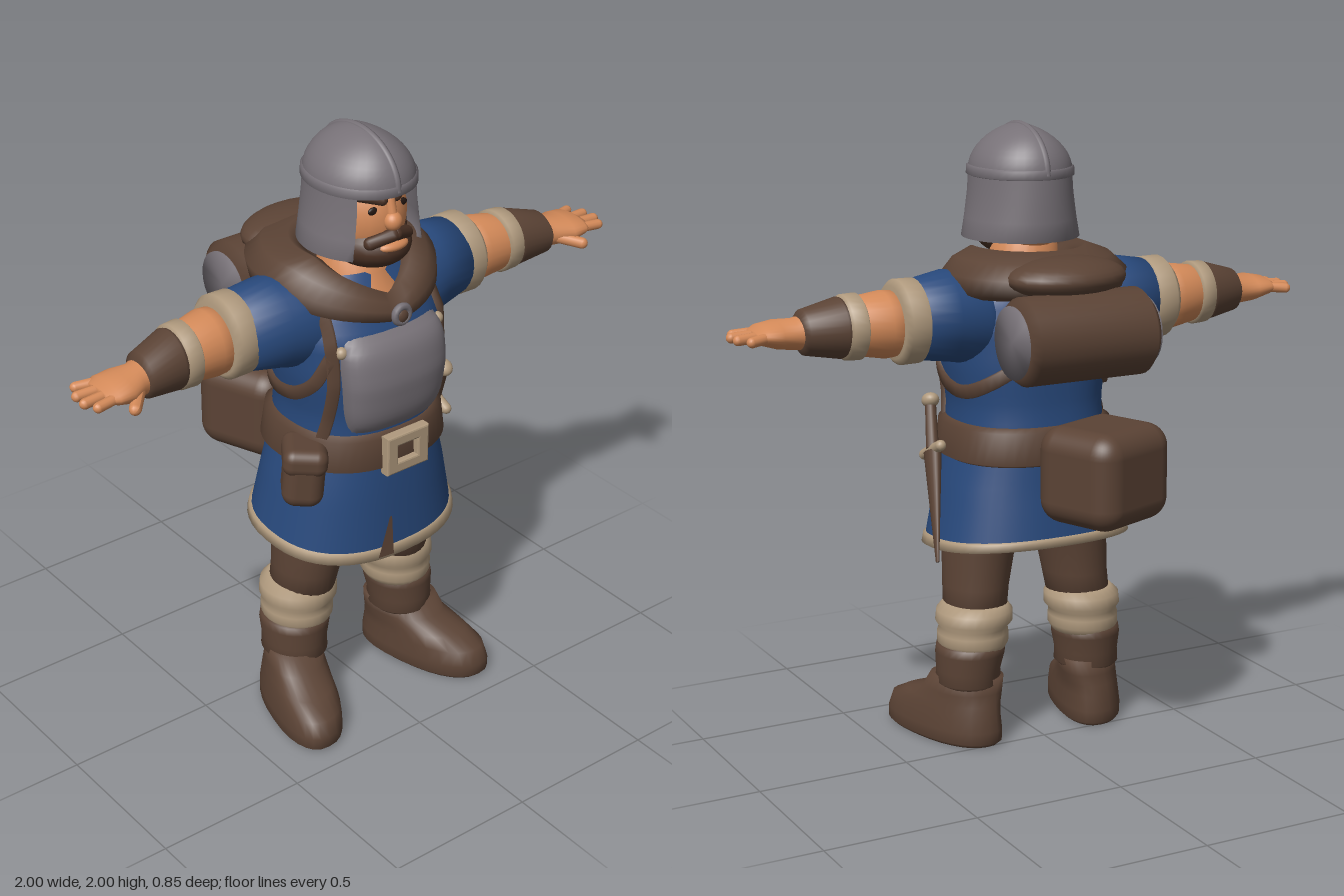
import * as THREE from 'three';
import { RoundedBoxGeometry } from 'three/addons/geometries/RoundedBoxGeometry.js';

const { sin, cos, abs, sign, pow, max, PI } = Math;
const material = (name, color, side = THREE.FrontSide) => {
  const m = new THREE.MeshStandardMaterial({ color, side });
  m.name = name;
  return m;
};
const spow = (v, p) => sign(v) * pow(abs(v), p);

// Skin a series of cross-sections into one smooth surface
function loft(rows, wrap = true, cap = wrap) {
  const n = rows[0].length, pos = rows.flat(2), idx = [], cols = wrap ? n : n - 1;
  for (let i = 0; i < rows.length - 1; i++) for (let j = 0; j < cols; j++) {
    const a = i * n + j, b = i * n + (j + 1) % n;
    idx.push(a, b, b + n, a, b + n, a + n);
  }
  if (cap) [0, rows.length - 1].forEach((r, end) => {
    const c = pos.length / 3;
    for (let k = 0; k < 3; k++) pos.push(rows[r].reduce((s, p) => s + p[k], 0) / n);
    for (let j = 0; j < n; j++) {
      const a = r * n + j, b = r * n + (j + 1) % n;
      idx.push(c, ...(end ? [a, b] : [b, a]));
    }
  });
  const g = new THREE.BufferGeometry();
  g.setAttribute('position', new THREE.Float32BufferAttribute(pos, 3));
  g.setIndex(idx);
  g.computeVertexNormals();
  return g;
}
const span = (n, f) => Array.from({ length: n + 1 }, (_, i) => f(i / n));
const ring = (f, n = 28) => Array.from({ length: n }, (_, i) => f(i / n * 2 * PI));
// Rows [y, x, z, rx, rz] for upright parts and [x, y, z, ry, rz] for sideways parts
const upright = (rows, p = 1) => loft(rows.map(([y, x, z, rx, rz]) =>
  ring(a => [x + rx * spow(sin(a), p), y, z + rz * spow(cos(a), p)])));
const sideways = rows => loft(rows.map(([x, y, z, ry, rz]) =>
  ring(a => [x, y + ry * cos(a), z + rz * sin(a)])));
const ball = (x, y, z, rx, ry, rz) => new THREE.SphereGeometry(1, 24, 16).scale(rx, ry, rz).translate(x, y, z);
function bar(a, b, r) {
  const A = new THREE.Vector3(...a), d = new THREE.Vector3(...b).sub(A), len = d.length();
  const q = new THREE.Quaternion().setFromUnitVectors(new THREE.Vector3(0, 1, 0), d.clone().normalize());
  return new THREE.CapsuleGeometry(r, len, 5, 12).applyQuaternion(q).translate(...A.addScaledVector(d, 0.5).toArray());
}
function mirrored(g) {
  const m = g.clone().scale(-1, 1, 1), ix = m.index.array;
  for (let i = 0; i < ix.length; i += 3) [ix[i], ix[i + 1]] = [ix[i + 1], ix[i]];
  m.computeVertexNormals();
  return m;
}

// Tunic sections: height, half width, centre depth, half depth
const tunic = [[0.66, 0.33, 0.13, 0.27], [0.85, 0.29, 0.135, 0.25], [1, 0.25, 0.135, 0.235], [1.12, 0.245, 0.14, 0.225],
  [1.25, 0.265, 0.145, 0.23], [1.38, 0.27, 0.14, 0.215], [1.48, 0.24, 0.125, 0.18], [1.56, 0.16, 0.12, 0.13]];
function onTunic(a, y, off = 0) {
  let i = 0;
  while (i < tunic.length - 2 && y > tunic[i + 1][0]) i++;
  const A = tunic[i], B = tunic[i + 1], t = (y - A[0]) / (B[0] - A[0]);
  const [w, c, d] = [1, 2, 3].map(k => A[k] + (B[k] - A[k]) * t);
  const drop = max(0, 0.9 - y) / 0.24 * 0.03 * cos(a);
  return [(w + off) * spow(sin(a), 0.85), y - drop, c + (d + off) * spow(cos(a), 0.85)];
}
const tunicBand = rows => loft(rows.map(([y, off]) => ring(a => onTunic(a, y, off), 48)), true, false);
// Strap following the tunic through [angle, height] points
function strap(points, w) {
  const curve = new THREE.CatmullRomCurve3(points.map(([a, y]) => new THREE.Vector3(a * 0.26, y, 0)));
  return loft(span(24, t => {
    const p = curve.getPoint(t), d = curve.getTangent(t);
    return [[-1, -0.005], [-0.8, 0.014], [0.8, 0.014], [1, -0.005]].map(([k, off]) =>
      onTunic((p.x - d.y * w * k) / 0.26, p.y + d.x * w * k, off));
  }), false);
}

export function createModel() {
  const model = new THREE.Group();
  model.name = 'warrior';
  const leather = material('brown leather', 0x5b4335, THREE.DoubleSide), blue = material('blue cloth', 0x28497c, THREE.DoubleSide);
  const steel = material('grey steel', 0x777177, THREE.DoubleSide), fur = material('beige trim', 0xb09a7e);
  const skin = material('skin', 0xd48a59), hair = material('dark brown hair', 0x4b3225), dark = material('dark eyes', 0x241813);
  const add = (name, g, m, parent = model) => {
    const mesh = new THREE.Mesh(g, m);
    mesh.name = name;
    parent.add(mesh);
    return mesh;
  };
  const pair = (name, g, m) => {
    add('left ' + name, g, m);
    add('right ' + name, mirrored(g), m);
  };

  // Tunic, hem, slit and belt
  add('tunic', tunicBand(span(30, t => [0.66 + 0.9 * t, 0])), blue);
  add('hem trim', tunicBand([[0.658, -0.012], [0.658, 0.008], [0.685, 0.008], [0.69, 0]]), fur);
  add('tunic slit', loft(span(6, t => [-1, 1].map(k => onTunic(-0.17 + 0.05 * t + k * 0.075 * (1 - 0.85 * t), 0.665 + 0.12 * t, 0.01))), false), leather);
  add('belt', tunicBand([[0.945, 0], [0.955, 0.022], [1.055, 0.022], [1.068, 0]]), leather);

  // Buckle frame
  const buckle = new THREE.Shape([[-0.075, -0.06], [0.075, -0.06], [0.075, 0.06], [-0.075, 0.06]].map(p => new THREE.Vector2(...p)));
  buckle.holes.push(new THREE.Path([[-0.045, -0.035], [-0.045, 0.035], [0.045, 0.035], [0.045, -0.035]].map(p => new THREE.Vector2(...p))));
  add('buckle', new THREE.ExtrudeGeometry(buckle, { depth: 0.025, bevelSize: 0.006, bevelThickness: 0.006, bevelSegments: 2 }).translate(0, 1, 0.385), fur);

  // Breastplate, bulging from its edge
  add('breastplate', loft(span(16, v => span(20, u => {
    const e = 1 - pow(abs(2 * v - 1), 5), f = 1 - pow(abs(2 * u - 1), 6);
    return onTunic((2 * u - 1) * (0.62 + 0.13 * e), 1.07 + 0.335 * v, -0.006 + 0.05 * e * f);
  })), false), steel);

  // Harness
  pair('chest strap', strap([[1, 1.53], [0.84, 1.4], [0.85, 1.24], [1.05, 1.05]], 0.025), leather);
  pair('side strap', strap([[0.85, 1.34], [1.2, 1.23], [1.7, 1.17], [2.4, 1.22], [PI, 1.34]], 0.024), leather);
  pair('strap stud', ball(0.185, 1.36, 0.315, 0.02, 0.02, 0.02), fur);

  // Cowl with a pointed front, and the hood hanging behind
  const cowl = [[1.475, 0.26, 0.33, -0.12, 0.05], [1.495, 0.29, 0.37, -0.2, 0.06], [1.55, 0.295, 0.365, -0.22, 0.09], [1.595, 0.25, 0.35, -0.17, 0.11],
    [1.622, 0.18, 0.31, -0.08, 0.12], [1.6, 0.145, 0.275, -0.03, 0.12], [1.5, 0.12, 0.22, 0, 0.03]];
  add('cowl', loft(cowl.map(([y, rx, front, back, drop]) => ring(a => {
    const g = max(0, 1 - abs(a > PI ? 2 * PI - a : a) / 1.35);
    return [rx * sin(a), y - drop * g, (front + back) / 2 + (front - back) / 2 * cos(a)];
  }, 48)), true, false), leather);
  add('hood', ball(0, 1.55, -0.14, 0.2, 0.065, 0.14), leather);
  add('clasp', new THREE.TorusGeometry(0.026, 0.012, 8, 18).translate(0, 1.455, 0.37), steel);
  add('clasp knot', ball(0, 1.45, 0.36, 0.03, 0.03, 0.025), leather);

  // Head and beard
  add('neck', upright([[1.42, 0, 0.17, 0.16, 0.15], [1.5, 0, 0.155, 0.14, 0.145], [1.55, 0, 0.14, 0.11, 0.12], [1.68, 0, 0.13, 0.1, 0.1]]), skin);
  add('head', ball(0, 1.74, 0.15, 0.135, 0.17, 0.172), skin);
  add('nose', ball(0, 1.745, 0.322, 0.029, 0.03, 0.028), skin);
  add('nose bridge', bar([0, 1.75, 0.322], [0, 1.81, 0.305], 0.016), skin);
  add('beard', ball(0, 1.65, 0.205, 0.124, 0.08, 0.145), hair);
  add('mouth', ball(0, 1.668, 0.322, 0.055, 0.019, 0.03), skin);
  pair('moustache', bar([0.006, 1.705, 0.33], [0.068, 1.682, 0.302], 0.021), hair);
  pair('sideburn', bar([0.108, 1.78, 0.19], [0.098, 1.66, 0.22], 0.032), hair);
  pair('eyebrow', bar([0.025, 1.812, 0.302], [0.088, 1.828, 0.262], 0.017), hair);
  pair('eye', ball(0.052, 1.782, 0.296, 0.021, 0.013, 0.008), dark);

  // Helmet: dome, brow band, crest and open-faced skirt
  const shell = (rx, rz, y, a) => [rx * sin(a), y, 0.16 + rz * cos(a)];
  add('helmet dome', loft(span(12, t => ring(a => shell(0.16 * pow(cos(t * 1.56), 1.4), 0.187 * cos(t * 1.56), 1.845 + 0.15 * sin(t * 1.56), a), 40))), steel);
  add('helmet band', loft([[1.832, 0], [1.836, 0.009], [1.86, 0.008], [1.866, 0]].map(([y, o]) =>
    ring(a => shell(0.157 + o, 0.183 + o, y, a), 40)), true, false), steel);
  add('helmet crest', new THREE.TubeGeometry(new THREE.CatmullRomCurve3(span(14, t =>
    new THREE.Vector3(0, 1.845 + 0.145 * sin(t * PI), 0.16 + 0.183 * cos(t * PI)))), 40, 0.011, 8), steel);
  add('helmet skirt', loft([[1.645, 0.17, 0.18], [1.64, 0.186, 0.196], [1.7, 0.174, 0.194], [1.78, 0.162, 0.19], [1.85, 0.158, 0.185]].map(([y, rx, rz]) =>
    span(40, t => shell(rx, rz, y, 0.78 + t * (2 * PI - 1.56)))), false), steel);

  // Arms and hands
  pair('sleeve', sideways([[0.1, 1.4, 0.12, 0.13, 0.12], [0.2, 1.4, 0.12, 0.152, 0.15], [0.3, 1.415, 0.105, 0.145, 0.142], [0.43, 1.415, 0.09, 0.124, 0.125]]), blue);
  pair('sleeve cuff', sideways([[0.4, 1.413, 0.088, 0.115, 0.115], [0.41, 1.413, 0.088, 0.133, 0.13], [0.47, 1.413, 0.088, 0.134, 0.13], [0.488, 1.413, 0.088, 0.115, 0.115]]), fur);
  pair('forearm', sideways([[0.44, 1.41, 0.09, 0.1, 0.1], [0.52, 1.41, 0.09, 0.106, 0.105], [0.6, 1.41, 0.1, 0.093, 0.094], [0.74, 1.405, 0.115, 0.06, 0.065], [0.8, 1.4, 0.13, 0.048, 0.062],
    [0.85, 1.402, 0.138, 0.045, 0.083], [0.9, 1.405, 0.138, 0.032, 0.082], [0.925, 1.405, 0.138, 0.016, 0.065]]), skin);
  pair('wrist trim', sideways([[0.59, 1.41, 0.1, 0.09, 0.09], [0.6, 1.41, 0.1, 0.104, 0.104], [0.645, 1.41, 0.102, 0.102, 0.1], [0.66, 1.41, 0.105, 0.08, 0.08]]), fur);
  pair('bracer', sideways([[0.64, 1.41, 0.105, 0.09, 0.09], [0.66, 1.41, 0.105, 0.096, 0.095], [0.77, 1.403, 0.122, 0.071, 0.077], [0.785, 1.402, 0.125, 0.05, 0.06]]), leather);
  [[0.955, 0.062], [0.98, 0.11], [0.984, 0.158], [0.965, 0.2]].forEach(([x, z], i) =>
    pair('finger ' + (i + 1), bar([0.89, 1.405, 0.083 + i * 0.036], [x, 1.4, z], 0.0165), skin));
  pair('thumb', bar([0.81, 1.39, 0.175], [0.865, 1.375, 0.235], 0.019), skin);

  // Legs, fur bands and boots
  pair('trouser leg', upright([[0.4, 0.195, 0.115, 0.1, 0.11], [0.52, 0.183, 0.13, 0.105, 0.122], [0.64, 0.17, 0.135, 0.115, 0.135], [0.9, 0.13, 0.13, 0.13, 0.15]]), leather);
  pair('fur band', upright([[0.31, 0.205, 0.11, 0.1, 0.11], [0.335, 0.205, 0.11, 0.115, 0.122], [0.365, 0.205, 0.11, 0.115, 0.122], [0.385, 0.203, 0.11, 0.11, 0.117],
    [0.405, 0.2, 0.11, 0.125, 0.13], [0.44, 0.198, 0.11, 0.123, 0.128], [0.465, 0.195, 0.115, 0.1, 0.11]]), fur);
  pair('boot cuff', upright([[0.185, 0.22, 0.115, 0.09, 0.1], [0.2, 0.22, 0.115, 0.105, 0.115], [0.24, 0.22, 0.115, 0.103, 0.112], [0.3, 0.215, 0.11, 0.112, 0.12], [0.325, 0.213, 0.11, 0.11, 0.118], [0.335, 0.21, 0.11, 0.09, 0.1]]), leather);
  const boot = upright([[0, 0.238, 0.205, 0.1, 0.212], [0.012, 0.238, 0.205, 0.112, 0.224], [0.05, 0.238, 0.205, 0.112, 0.225], [0.1, 0.236, 0.2, 0.107, 0.212], [0.135, 0.232, 0.17, 0.102, 0.175], [0.17, 0.225, 0.13, 0.1, 0.125], [0.22, 0.22, 0.115, 0.098, 0.107]], 0.85);
  const bp = boot.attributes.position;
  for (let i = 0; i < bp.count; i++) bp.setX(i, bp.getX(i) + (bp.getZ(i) - 0.1) * 0.24); // toes turn out
  boot.computeVertexNormals();
  pair('boot', boot, leather);

  // Bedroll, back pack and side pouch
  add('bedroll', sideways([[-0.225, 1.38, -0.23, 0.11, 0.11], [-0.2, 1.38, -0.23, 0.137, 0.137], [0.2, 1.38, -0.23, 0.137, 0.137], [0.23, 1.38, -0.23, 0.115, 0.115]]), leather);
  add('bedroll ends', sideways([[-0.231, 1.38, -0.23, 0.108, 0.108], [0.236, 1.38, -0.23, 0.113, 0.113]]), steel);
  add('back pack', new RoundedBoxGeometry(0.34, 0.31, 0.31, 5, 0.075).rotateY(0.37).translate(-0.085, 0.94, -0.235), leather);
  add('side pouch', new RoundedBoxGeometry(0.13, 0.2, 0.15, 4, 0.045).rotateZ(-0.08).rotateY(-0.6).translate(-0.28, 0.95, 0.25), leather);
  add('side pouch flap', new RoundedBoxGeometry(0.14, 0.09, 0.165, 4, 0.035).rotateZ(-0.08).rotateY(-0.6).translate(-0.275, 1.01, 0.25), leather);

  // Sheathed dagger hanging at the left hip
  const dagger = new THREE.Group();
  dagger.name = 'dagger';
  dagger.position.set(0.315, 0.97, 0.165);
  dagger.quaternion.setFromUnitVectors(new THREE.Vector3(0, -1, 0), new THREE.Vector3(0.1, -0.5, -0.25).normalize());
  model.add(dagger);
  add('sheath', new THREE.CylinderGeometry(0.042, 0.008, 0.36, 16).scale(0.6, 1, 1).translate(0, -0.185, 0), leather, dagger);
  add('guard', bar([0, 0, -0.06], [0, 0, 0.06], 0.018), fur, dagger);
  add('grip', new THREE.CylinderGeometry(0.018, 0.021, 0.15, 14).translate(0, 0.08, 0), leather, dagger);
  add('pommel', ball(0, 0.165, 0, 0.028, 0.024, 0.032), fur, dagger);
  return model;
}
